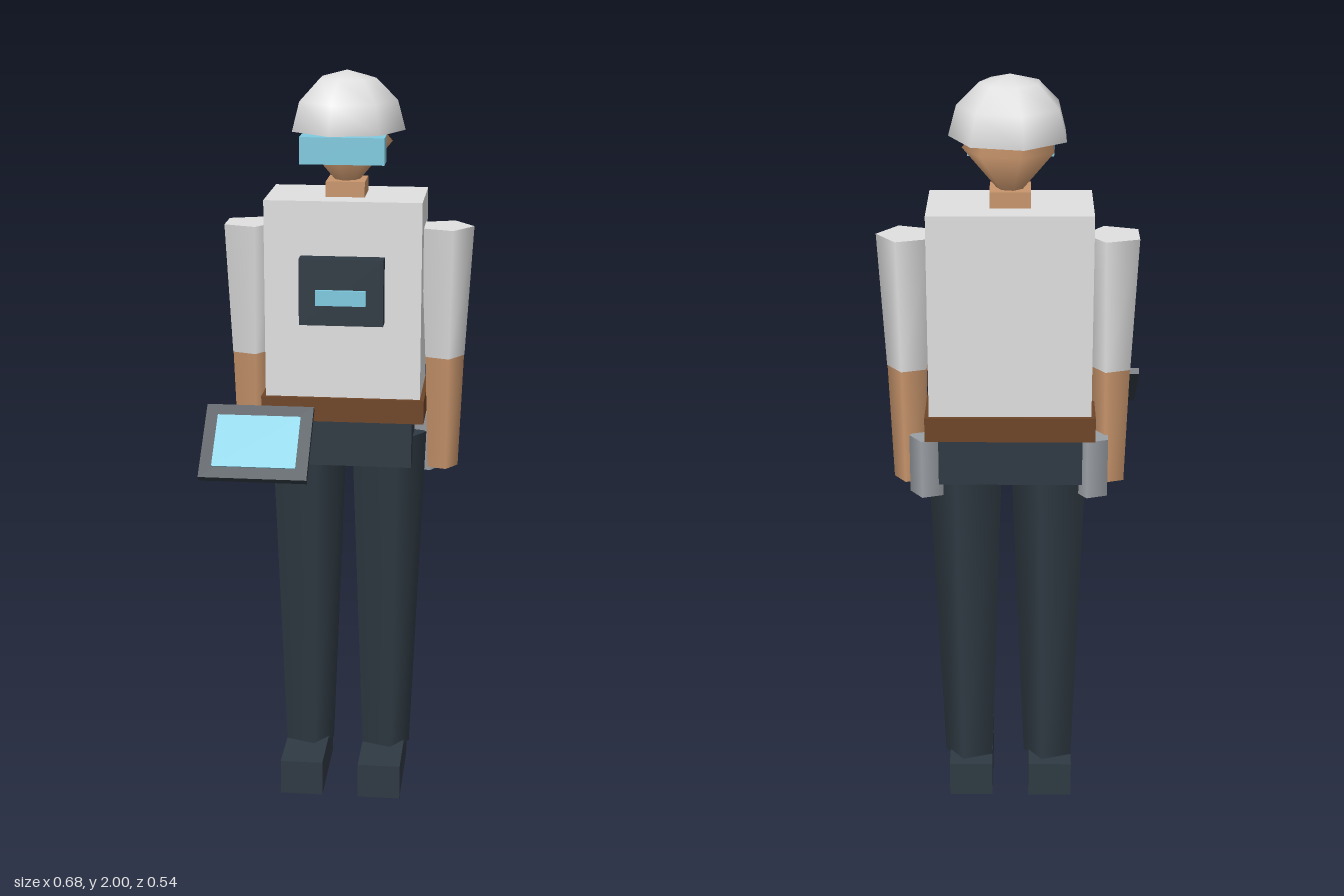
import * as THREE from 'three';

export function createModel() {
  const model = new THREE.Group();
  model.name = 'technician';

  const mat = (name, color, extra = {}) => {
    const m = new THREE.MeshStandardMaterial({ color, ...extra });
    m.name = name;
    return m;
  };
  const white = mat('white', 0xe0e0e0, { side: THREE.DoubleSide });
  const skin = mat('skin', 0xc8956c);
  const dark = mat('dark blue grey', 0x2f3a43);
  const brown = mat('belt brown', 0x6f4628);
  const cyan = mat('screen cyan', 0x80cbe0);
  const grey = mat('tool grey', 0x9a9fa4);

  const CX = 0.004, CZ = -0.122; // body axis

  function add(name, geometry, material, x, y, z, parent = model) {
    const mesh = new THREE.Mesh(geometry, material);
    mesh.name = name;
    mesh.position.set(x, y, z);
    parent.add(mesh);
    return mesh;
  }
  // box given by its lower and upper corners
  function box(name, material, [x0, y0, z0], [x1, y1, z1]) {
    return add(name, new THREE.BoxGeometry(x1 - x0, y1 - y0, z1 - z0), material,
      (x0 + x1) / 2, (y0 + y1) / 2, (z0 + z1) / 2);
  }
  // five-sided tapered limb with one corner towards +x
  function limb(name, material, rTop, rBottom, yTop, yBottom, x, z) {
    const g = new THREE.CylinderGeometry(rTop, rBottom, yTop - yBottom, 5, 1, false, Math.PI / 2);
    return add(name, g, material, x, (yTop + yBottom) / 2, z);
  }

  // trunk
  box('torso', white, [-0.202, 1.15, -0.241], [0.21, 1.68, -0.003]);
  box('belt', brown, [-0.213, 1.09, -0.252], [0.221, 1.155, 0.007]);
  box('pelvis', dark, [-0.181, 0.96, -0.228], [0.188, 1.1, -0.014]);

  // chest unit
  box('chestPanel', dark, [-0.106, 1.362, -0.01], [0.114, 1.537, 0.041]);
  box('chestDisplay', cyan, [-0.062, 1.417, 0.035], [0.069, 1.457, 0.051]);

  // head
  box('neck', skin, [-0.047, 1.67, -0.172], [0.055, 1.72, -0.068]);
  const head = add('head', new THREE.SphereGeometry(0.119, 7, 2), skin, CX, 1.82, CZ);
  head.rotation.y = Math.PI;
  head.scale.y = 1.18;
  box('goggles', cyan, [-0.105, 1.778, -0.045], [0.113, 1.847, 0.021]);
  const helmet = add('helmet',
    new THREE.SphereGeometry(0.152, 7, 3, 0, Math.PI * 2, 0, Math.PI / 2), white, CX, 1.849, CZ);
  helmet.rotation.y = Math.PI;

  // arms, legs, shoes and hip tools on both sides
  for (const [side, s] of [['left', 1], ['right', -1]]) {
    const armX = CX + s * 0.26;
    limb(side + 'Sleeve', white, 0.076, 0.057, 1.6, 1.25, armX, CZ);
    limb(side + 'Forearm', skin, 0.056, 0.045, 1.25, 0.938, armX, CZ);
    const legX = CX + s * 0.109;
    limb(side + 'Leg', dark, 0.109, 0.072, 1.03, 0.09, legX, CZ);
    box(side + 'Shoe', dark, [legX - 0.059, 0, -0.216], [legX + 0.059, 0.1, 0.062]);
    limb(side + 'HipTool', grey, 0.048, 0.048, 1.075, 0.917, CX + s * 0.213, -0.172);
  }

  // tilted tablet
  const tablet = new THREE.Group();
  tablet.name = 'tablet';
  tablet.position.set(-0.201, 1.078, 0.177);
  tablet.rotation.x = 0.715;
  model.add(tablet);
  add('tabletBody', new THREE.BoxGeometry(0.281, 0.018, 0.222), dark, 0, 0, 0, tablet);
  add('tabletScreen', new THREE.BoxGeometry(0.218, 0.004, 0.156), cyan, 0, 0.01, 0, tablet);

  return model;
}
